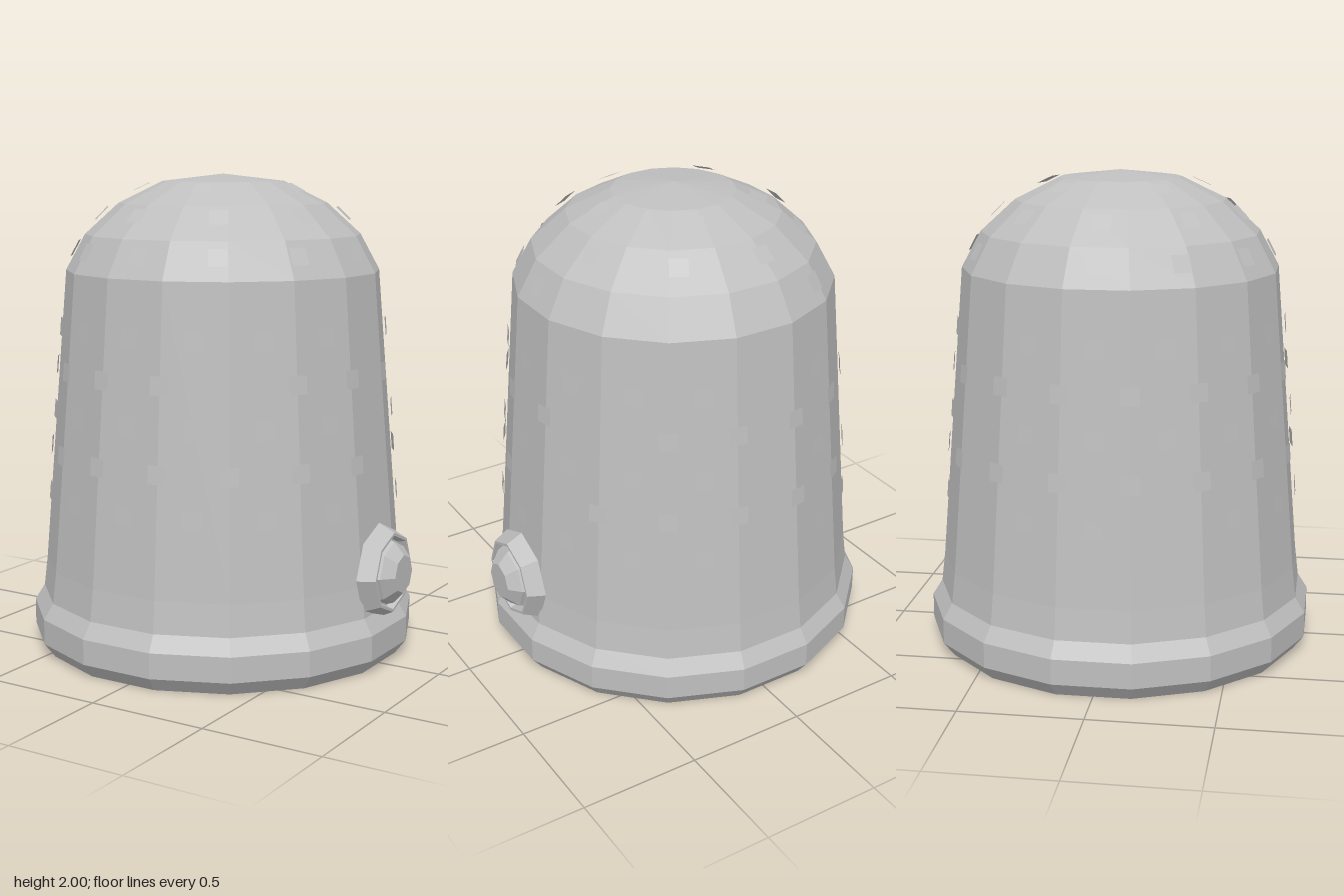
import * as THREE from 'three';

const rad = THREE.MathUtils.degToRad;

// Lathe with hard facets from [radius, height] pairs
function facetedLathe(points, sides, start) {
  const profile = points.map(([r, y]) => new THREE.Vector2(r, y));
  const geometry = new THREE.LatheGeometry(profile, sides, start).toNonIndexed();
  geometry.computeVertexNormals();
  return geometry;
}

export function createModel() {
  const model = new THREE.Group();
  model.name = 'thimble';
  const metal = new THREE.MeshStandardMaterial({ color: 0xbfbfbf });
  const dimpleMetal = new THREE.MeshStandardMaterial({ color: 0xc0c0c0, side: THREE.DoubleSide });
  metal.name = 'grey metal';
  dimpleMetal.name = 'grey dimple metal';

  const thimble = new THREE.Group();
  thimble.name = 'thimbleBody';
  thimble.position.x = -0.03;
  model.add(thimble);

  // Sixteen-sided shell: rolled rim, tapered wall, dome
  const sides = 16;
  const toCorner = 1 / Math.cos(Math.PI / sides);
  const shellProfile = [
    [0, 0], [0.76, 0], [0.805, 0.06], [0.805, 0.165], [0.765, 0.23], [0.75, 0.36],
    [0.65, 1.6], [0.57, 1.75], [0.43, 1.88], [0.25, 1.97], [0, 2],
  ].map(([r, y]) => [r * toCorner, y]);
  const shell = new THREE.Mesh(facetedLathe(shellProfile, sides, Math.PI / sides), metal);
  shell.name = 'shell';
  thimble.add(shell);

  // Rings of small square dimple plates, some left out
  const rings = [
    { y: 0.68, r: 0.745, count: 16, start: 0, tilt: 4.6, skip: [] },
    { y: 0.855, r: 0.733, count: 16, start: 11.25, tilt: 4.6, skip: [4] },
    { y: 1.03, r: 0.719, count: 16, start: 0, tilt: 4.6, skip: [10] },
    { y: 1.2, r: 0.704, count: 16, start: 11.25, tilt: 4.6, skip: [1, 5] },
    { y: 1.375, r: 0.689, count: 16, start: 0, tilt: 4.6, skip: [10] },
    { y: 1.69, r: 0.625, count: 12, start: 0, tilt: 28, skip: [4, 5, 8] },
    { y: 1.84, r: 0.51, count: 9, start: -90, tilt: 45, skip: [] },
    { y: 1.948, r: 0.34, count: 5, start: 90, tilt: 65, skip: [] },
  ];
  for (const { y, r, count, start, tilt, skip } of rings) {
    const geometry = new THREE.PlaneGeometry(0.075, 0.075);
    geometry.rotateX(-rad(tilt));
    geometry.translate(0, y, r);
    for (let i = 0; i < count; i++) {
      if (skip.includes(i)) continue;
      const dimple = new THREE.Mesh(geometry, dimpleMetal);
      dimple.name = 'dimple';
      dimple.rotation.y = rad(start + (360 * i) / count);
      thimble.add(dimple);
    }
  }

  // Octagonal gem in its setting, on the side of the wall
  const stud = new THREE.Group();
  stud.name = 'stud';
  stud.position.set(0.72, 0.395, 0);
  stud.rotation.z = -Math.PI / 2;
  const setting = new THREE.Mesh(
    facetedLathe([[0, 0], [0.2, 0], [0.167, 0.07], [0.155, 0.07], [0.145, 0.04], [0, 0.04]], 8, 0), metal);
  setting.name = 'gemSetting';
  const gem = new THREE.Mesh(
    facetedLathe([[0.14, 0.035], [0.128, 0.07], [0.08, 0.115], [0, 0.115]], 8, 0), metal);
  gem.name = 'gem';
  stud.add(setting, gem);
  model.add(stud);

  return model;
}
